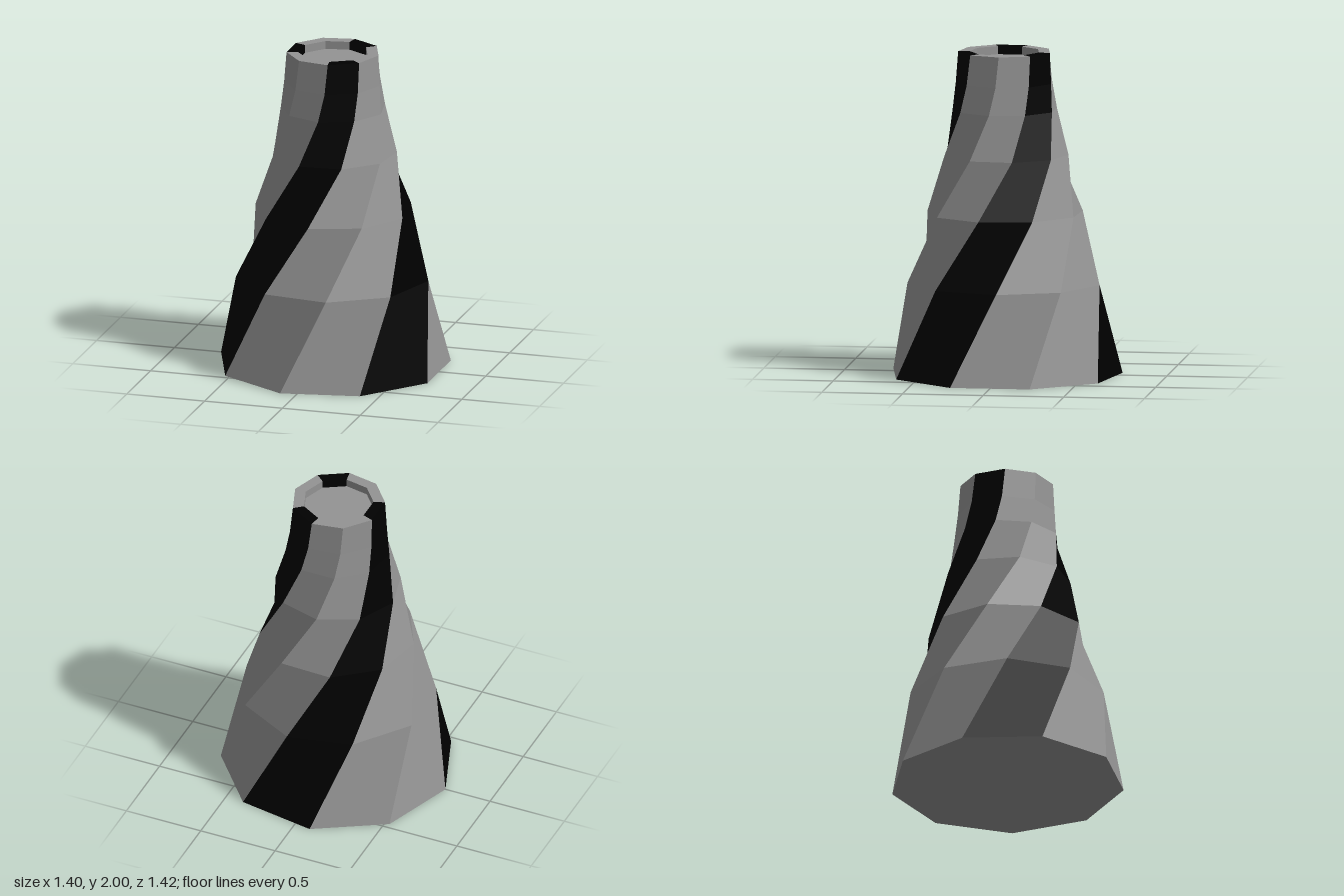
import * as THREE from 'three';

const SIDES = 9;
const CENTER_X = 0.022; // nine corners are not symmetric in x
const STEP = (Math.PI * 2) / SIDES;

// Cross-sections from the foot to the rim, then into the recess:
// height, radius, twist in degrees
const RINGS = [
  [0, 0.722, 0],
  [0.57, 0.602, 22.5],
  [1.0, 0.484, 48],
  [1.36, 0.39, 74],
  [1.64, 0.325, 90],
  [1.81, 0.303, 96.5],
  [2.0, 0.289, 100],
  [2.0, 0.218, 100],
  [1.95, 0.218, 100],
];

function corner(ring, k) {
  const [y, r, twist] = RINGS[ring];
  const a = Math.PI - k * STEP - THREE.MathUtils.degToRad(twist);
  return new THREE.Vector3(CENTER_X + r * Math.cos(a), y, r * Math.sin(a));
}

// Twisted strips for the chosen sides; each warped quad is shaded as one facet
function strips(useSide) {
  const pos = [];
  const nor = [];
  for (let k = 0; k < SIDES; k++) {
    if (!useSide(k)) continue;
    for (let i = 0; i < RINGS.length - 1; i++) {
      const a = corner(i, k), b = corner(i, k + 1);
      const c = corner(i + 1, k + 1), d = corner(i + 1, k);
      const n = c.clone().sub(a).cross(d.clone().sub(b)).normalize();
      // The foot row bulges outward, the rows above fold inward
      const order = i === 0 ? [a, b, d, b, c, d] : [a, b, c, a, c, d];
      for (const p of order) {
        pos.push(p.x, p.y, p.z);
        nor.push(n.x, n.y, n.z);
      }
    }
  }
  const geo = new THREE.BufferGeometry();
  geo.setAttribute('position', new THREE.Float32BufferAttribute(pos, 3));
  geo.setAttribute('normal', new THREE.Float32BufferAttribute(nor, 3));
  return geo;
}

export function createModel() {
  const group = new THREE.Group();
  const grey = new THREE.MeshStandardMaterial({ color: 0x949494 });
  const black = new THREE.MeshStandardMaterial({ color: 0x000000 });

  const add = (name, geo, mat) => {
    const mesh = new THREE.Mesh(geo, mat);
    mesh.name = name;
    group.add(mesh);
  };

  // Twisted body, with every third side a dark stripe running over the rim
  add('body', strips((k) => k % 3 !== 0), grey);
  add('stripes', strips((k) => k % 3 === 0), black);

  // Underside
  const base = new THREE.CircleGeometry(RINGS[0][1], SIDES, STEP / 2);
  base.rotateX(Math.PI / 2).translate(CENTER_X, 0, 0);
  add('base', base, grey);

  // Floor of the shallow recess in the top
  const [floorY, floorR] = RINGS[RINGS.length - 1];
  const floor = new THREE.CircleGeometry(floorR, SIDES);
  floor.rotateX(-Math.PI / 2).translate(CENTER_X, floorY, 0);
  add('recessFloor', floor, grey);

  return group;
}
